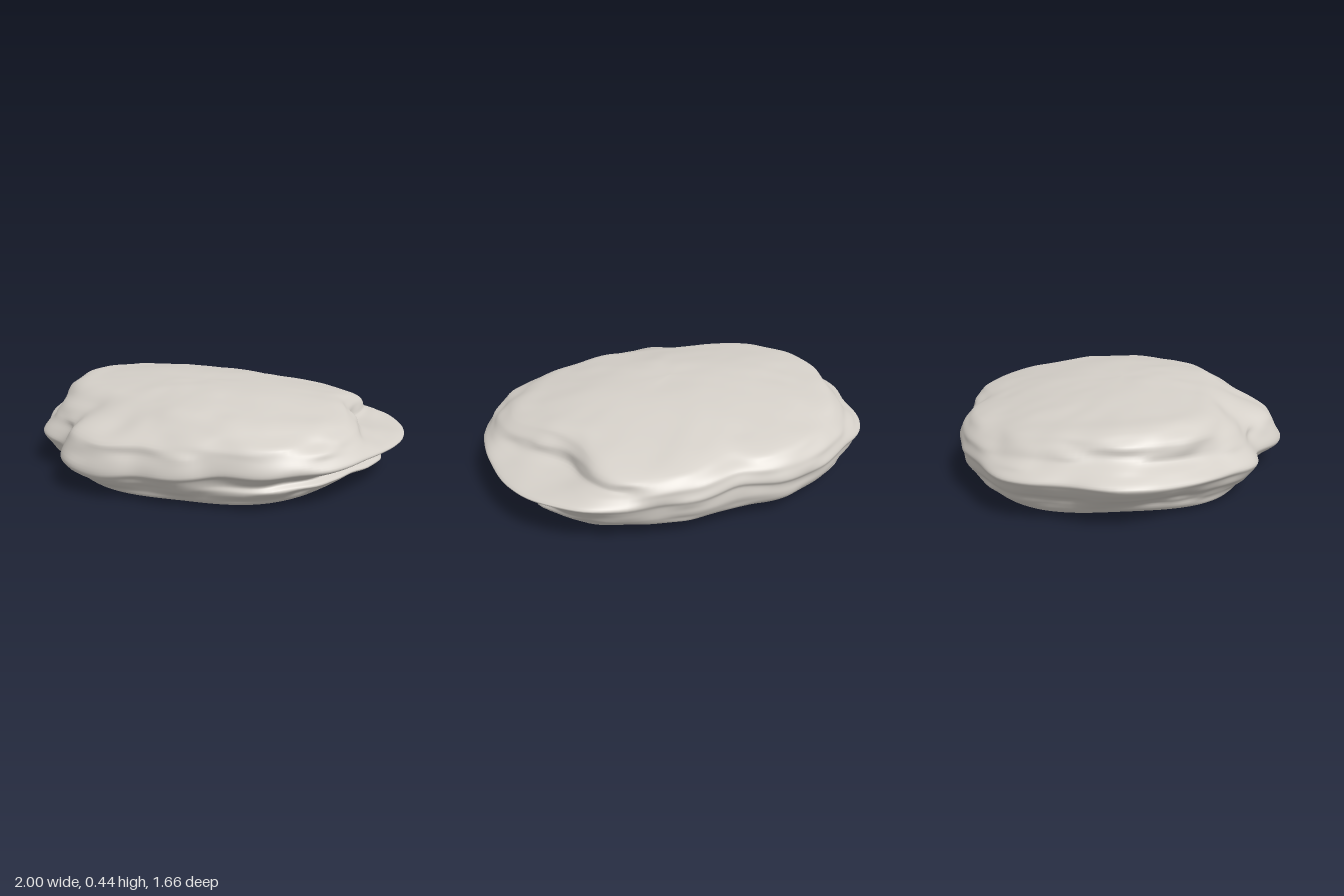
import * as THREE from 'three';

// Outline radii around the rock, from +x towards +z
const OUTER = [0.995, 0.96, 0.91, 0.81, 0.79, 0.77, 0.82, 0.835, 0.77, 0.86, 0.89, 0.94,
  1.0, 0.985, 1.01, 0.945, 0.90, 0.85, 0.81, 0.855, 0.90, 1.01, 1.04, 1.01];
const SLAB = [0.92, 0.91, 0.87, 0.77, 0.74, 0.72, 0.77, 0.77, 0.70, 0.79, 0.82, 0.85,
  0.88, 0.90, 0.92, 0.91, 0.88, 0.83, 0.79, 0.84, 0.885, 0.85, 0.76, 0.83];
const SHOULDER = [0.84, 0.81, 0.72, 0.61, 0.54, 0.49, 0.46, 0.46, 0.50, 0.58, 0.70, 0.78,
  0.82, 0.83, 0.83, 0.80, 0.79, 0.75, 0.72, 0.77, 0.82, 0.80, 0.71, 0.78];
const BASE = [0.77, 0.78, 0.70, 0.71, 0.69, 0.80, 0.80, 0.86, 0.75, 0.62, 0.68, 0.80];

const SEGMENTS = 180;
const ROWS = 80;
const { lerp, smoothstep } = THREE.MathUtils;

// Smooth periodic lookup, t in 0..1
function around(list, t) {
  const n = list.length, f = t * n, i = Math.floor(f), u = f - i;
  const at = (k) => list[(k + n) % n];
  const [a, b, c, d] = [at(i - 1), at(i), at(i + 1), at(i + 2)];
  return b + 0.5 * u * (c - a + u * (2 * a - 5 * b + 4 * c - d + u * (3 * (b - c) + d - a)));
}

// Seeded value noise, -1..1
function hash(x, y, z) {
  const s = Math.sin(x * 127.1 + y * 311.7 + z * 74.7) * 43758.5453;
  return s - Math.floor(s);
}
function noise(x, y, z) {
  const [i, j, k] = [x, y, z].map(Math.floor);
  const [u, v, w] = [x - i, y - j, z - k].map((t) => t * t * (3 - 2 * t));
  const edge = (b, c) => lerp(hash(i, j + b, k + c), hash(i + 1, j + b, k + c), u);
  return lerp(lerp(edge(0, 0), edge(1, 0), v), lerp(edge(0, 1), edge(1, 1), v), w) * 2 - 1;
}

// Gently domed plateau that falls away to the back and front
function topHeight(r, c, s) {
  const x = r * c, z = r * s;
  return 0.44 - (x > 0 ? 0.13 : 0.07) * x * x - (z > 0 ? 0.19 : 0.21) * z * z;
}

// Bump of width set by the power, centred on an angle
const lobe = (a, centre, power) => Math.max(0, Math.cos(a - centre)) ** power;

// Vertical profile of the rock in one direction, from the underside to the top
function profile(t) {
  const a = t * Math.PI * 2, c = Math.cos(a), s = Math.sin(a);
  const outer = around(OUTER, t) + 0.008 * noise(c * 7, 4.5, s * 7);
  const slab = around(SLAB, t), shoulder = around(SHOULDER, t), base = around(BASE, t);
  const ledge = Math.min(1, lobe(a, -0.65, 6) + 0.6 * lobe(a, 2.75, 8) + 0.4 * lobe(a, 3.7, 20));
  const undercut = lobe(a, 0, 5);
  const belly = lobe(a, -Math.PI / 2, 2);
  const rim = 0.21 - 0.075 * lobe(a, 1.65, 2) + 0.022 * noise(c * 4, 1.5, s * 4);
  const edgeTop = topHeight(shoulder, c, s);
  const slabY = lerp(lerp(rim, edgeTop, 0.52), rim + 0.05, ledge);
  const point = (r, y) => new THREE.Vector3(r, y, 0);
  const curve = new THREE.CatmullRomCurve3([
    point(0, 0.003),
    point(base * 0.5, 0.006),
    point(base * 0.96, 0.018),
    point(base, 0.025),
    point(lerp(base, outer, lerp(0.28, 0.75, belly)), rim * 0.37),
    point(lerp(base, outer, lerp(0.5, 0.9, belly)) + 0.02 * undercut, rim * 0.55),
    point(lerp(base, outer, lerp(0.7, 0.95, belly)) - 0.06 * undercut, rim * 0.68),
    point(outer - 0.012 - 0.03 * undercut, rim - 0.025),
    point(outer, rim),
    point(lerp(outer, slab, 0.5), lerp(lerp(rim, slabY, 0.6), rim + 0.03, ledge)),
    point(slab, slabY),
    point(lerp(slab, shoulder, 0.5 - 0.3 * ledge), lerp(slabY, edgeTop, 0.55)),
    point(shoulder, edgeTop),
    point(shoulder * 0.8, topHeight(shoulder * 0.8, c, s)),
    point(shoulder * 0.4, topHeight(shoulder * 0.4, c, s)),
    point(0, 0.44),
  ], false, 'centripetal');
  return { curve, outer, c, s };
}

function rockGeometry() {
  const positions = [], index = [];
  for (let i = 0; i < SEGMENTS; i++) {
    const { curve, outer, c, s } = profile(i / SEGMENTS);
    for (let j = 0; j <= ROWS; j++) {
      const p = curve.getPoint(j / ROWS);
      const x = c * p.x, z = s * p.x;
      // Stretched strata on the flanks, fading towards the widest line
      const flank = smoothstep(p.x, 0.4, 0.7) * smoothstep(p.y, 0.02, 0.08) *
        lerp(0.35, 1, smoothstep(outer - p.x, 0, 0.08));
      const strata = noise(x * 4 + 7, p.y * 12, z * 4 + 3) * 0.022 +
        noise(x * 8, p.y * 26, z * 8 + 5) * 0.014;
      // Soft dents on the upper surface
      const dents = (noise(x * 4.5, 2.5, z * 4.5) * 0.007 + noise(x * 10, 8.5, z * 10) * 0.004) *
        smoothstep(p.y, 0.15, 0.3);
      const r = p.x + strata * flank;
      positions.push(c * r, Math.max(0, p.y + dents), s * r);
      const here = i * (ROWS + 1) + j, next = ((i + 1) % SEGMENTS) * (ROWS + 1) + j;
      if (j > 0 && j < ROWS) index.push(here, here + 1, next);
      if (j < ROWS - 1) index.push(next, here + 1, next + 1);
    }
  }
  const geometry = new THREE.BufferGeometry();
  geometry.setAttribute('position', new THREE.Float32BufferAttribute(positions, 3));
  geometry.setIndex(index);
  geometry.computeVertexNormals();
  return geometry;
}

export function createModel() {
  const stone = new THREE.MeshStandardMaterial({ color: 0xd4cfc8 });
  stone.name = 'warm grey stone';
  const rock = new THREE.Mesh(rockGeometry(), stone);
  rock.name = 'flatRock';
  const group = new THREE.Group();
  group.name = 'flatBoulder';
  group.add(rock);
  return group;
}
